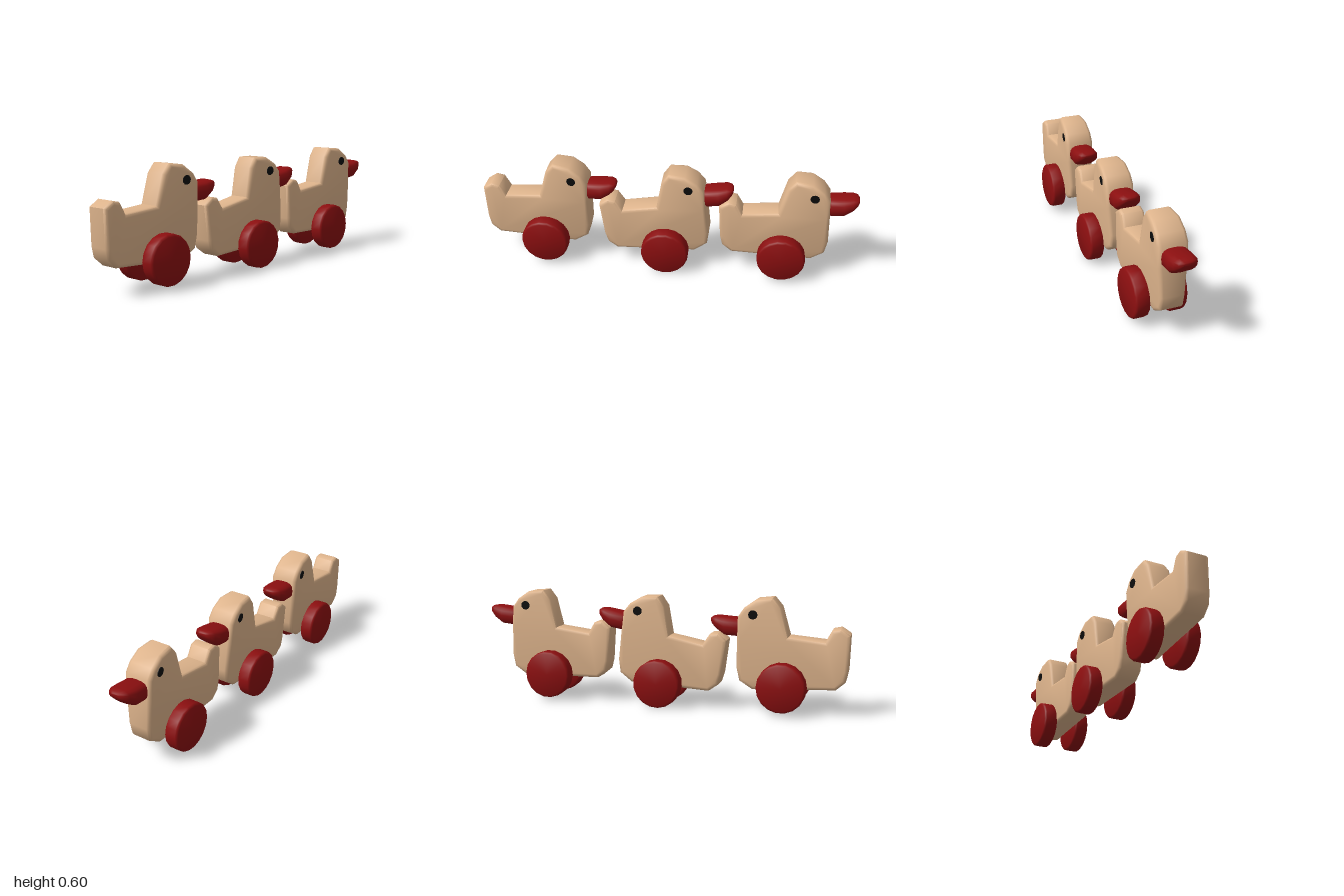
import * as THREE from 'three';
import { toCreasedNormals, mergeVertices } from 'three/addons/utils/BufferGeometryUtils.js';

const wood = new THREE.MeshStandardMaterial({ color: 0xdeb48c });
wood.name = 'pale wood';
const red = new THREE.MeshStandardMaterial({ color: 0x8c0f10 });
red.name = 'dark red';
const black = new THREE.MeshStandardMaterial({ color: 0x0c0c0c });
black.name = 'black';

// Side outline, measured forward and up from the wheel axis
const OUTLINE = [
  [-0.334, 0.278], [-0.286, 0.31], [-0.243, 0.3], [-0.211, 0.241], [-0.024, 0.257],
  [0.019, 0.406], [0.061, 0.455], [0.147, 0.444], [0.206, 0.401], [0.238, 0.353],
  [0.241, 0.24], [0.243, 0.086], [0.227, 0.016], [0.158, -0.027], [-0.27, -0.005],
  [-0.318, 0.037], [-0.329, 0.091],
];

// Flat board with softened edges, swelling a little at the cheeks; faces -z
function bodyGeometry() {
  const shape = new THREE.Shape(OUTLINE.map(([f, y]) => new THREE.Vector2(f, y)).reverse());
  const half = 0.063, bevel = 0.015;
  const geo = new THREE.ExtrudeGeometry(shape, {
    depth: 2 * (half - bevel), bevelThickness: bevel, bevelSize: 0.018,
    bevelOffset: -0.018, bevelSegments: 2,
  });
  geo.translate(0, 0, bevel - half);
  const p = geo.attributes.position;
  for (let i = 0; i < p.count; i++) {
    const d = Math.hypot(p.getX(i) - 0.235, p.getY(i) - 0.355) / 0.22;
    const swell = 0.22 * Math.max(0, 1 - d * d);
    p.setZ(i, p.getZ(i) * (1 + swell));
  }
  geo.rotateY(Math.PI / 2);
  return toCreasedNormals(geo, 0.9);
}

// Rounded-box rings lofted along the beak: forward, bottom, top, half width
function beakGeometry() {
  const rings = [
    [0.222, 0.262, 0.335, 0.05], [0.245, 0.246, 0.344, 0.066], [0.31, 0.25, 0.348, 0.068],
    [0.355, 0.28, 0.351, 0.06], [0.379, 0.305, 0.346, 0.045], [0.388, 0.322, 0.338, 0.025],
  ];
  const sides = 16, pos = [], idx = [];
  const soft = (v) => Math.sign(v) * Math.pow(Math.abs(v), 0.7);
  for (const [f, low, high, w] of rings) {
    for (let j = 0; j < sides; j++) {
      const a = (j / sides) * Math.PI * 2;
      pos.push(w * soft(Math.cos(a)), (low + high) / 2 + ((high - low) / 2) * soft(Math.sin(a)), -f);
    }
  }
  for (let i = 0; i < rings.length - 1; i++) {
    for (let j = 0; j < sides; j++) {
      const a = i * sides + j, b = i * sides + ((j + 1) % sides);
      idx.push(a, a + sides, b, b, a + sides, b + sides);
    }
  }
  const last = (rings.length - 1) * sides;
  for (let j = 1; j < sides - 1; j++) {
    idx.push(0, j, j + 1, last, last + j + 1, last + j);
  }
  // Rings advance towards -z, so turn the corners to face outward
  for (let i = 0; i < idx.length; i += 3) {
    const t = idx[i + 1];
    idx[i + 1] = idx[i + 2];
    idx[i + 2] = t;
  }
  const geo = new THREE.BufferGeometry();
  geo.setAttribute('position', new THREE.Float32BufferAttribute(pos, 3));
  geo.setIndex(idx);
  // Make sure the solid is not inside out
  let volume = 0;
  const v = [0, 1, 2].map(() => new THREE.Vector3());
  for (let i = 0; i < idx.length; i += 3) {
    v.forEach((q, k) => q.fromArray(pos, idx[i + k] * 3));
    volume += v[0].dot(v[1].clone().cross(v[2]));
  }
  if (volume < 0) geo.setIndex(idx.reverse());
  const merged = mergeVertices(geo);
  merged.computeVertexNormals();
  return merged;
}

// Thick disc with a softened rim, axis along x
function wheelGeometry() {
  const r = 0.128, h = 0.039, b = 0.012;
  const profile = [[0, -h], [r - b, -h], [r - b * 0.3, -h + b * 0.4], [r, -h + b],
    [r, h - b], [r - b * 0.3, h - b * 0.4], [r - b, h], [0, h]];
  const geo = new THREE.LatheGeometry(profile.map(([x, y]) => new THREE.Vector2(x, y)), 18);
  geo.rotateZ(Math.PI / 2);
  return toCreasedNormals(geo, 0.7);
}

function part(name, geometry, material, parent) {
  const mesh = new THREE.Mesh(geometry, material);
  mesh.name = name;
  parent.add(mesh);
  return mesh;
}

export function createModel() {
  const model = new THREE.Group();
  model.name = 'rolling duck row';
  const bodyGeo = bodyGeometry(), beakGeo = beakGeometry(), wheelGeo = wheelGeometry();
  const eyeGeo = new THREE.CylinderGeometry(0.024, 0.024, 0.006, 12);
  eyeGeo.rotateX(Math.PI / 2);

  // Find where each eye plate rests on the swelling cheek
  const probe = new THREE.Mesh(bodyGeo, wood);
  const eyeSpots = [1, -1].map((s) => {
    const ray = new THREE.Raycaster(new THREE.Vector3(s, 0.368, -0.158), new THREE.Vector3(-s, 0, 0));
    const hit = ray.intersectObject(probe)[0];
    return hit
      ? { point: hit.point, normal: hit.face.normal }
      : { point: new THREE.Vector3(s * 0.068, 0.368, -0.158), normal: new THREE.Vector3(s, 0, 0) };
  });

  // Wheel-axis height, position along the row, nose-up tilt
  const ducks = [
    ['rearDuck', 0.147, 0.665, 0],
    ['middleDuck', 0.129, 0.005, 0.105],
    ['leadDuck', 0.145, -0.62, 0.035],
  ];
  for (const [name, y, z, tilt] of ducks) {
    const duck = new THREE.Group();
    duck.name = name;
    duck.position.set(0, y, z);
    duck.rotation.x = tilt;
    part('body', bodyGeo, wood, duck);
    part('beak', beakGeo, red, duck);
    [1, -1].forEach((s, i) => {
      const side = s > 0 ? 'left' : 'right';
      part(side + 'Wheel', wheelGeo, red, duck).position.x = s * 0.096;
      const eye = part(side + 'Eye', eyeGeo, black, duck);
      eye.position.copy(eyeSpots[i].point);
      eye.quaternion.setFromUnitVectors(new THREE.Vector3(0, 0, 1), eyeSpots[i].normal);
    });
    model.add(duck);
  }
  return model;
}
